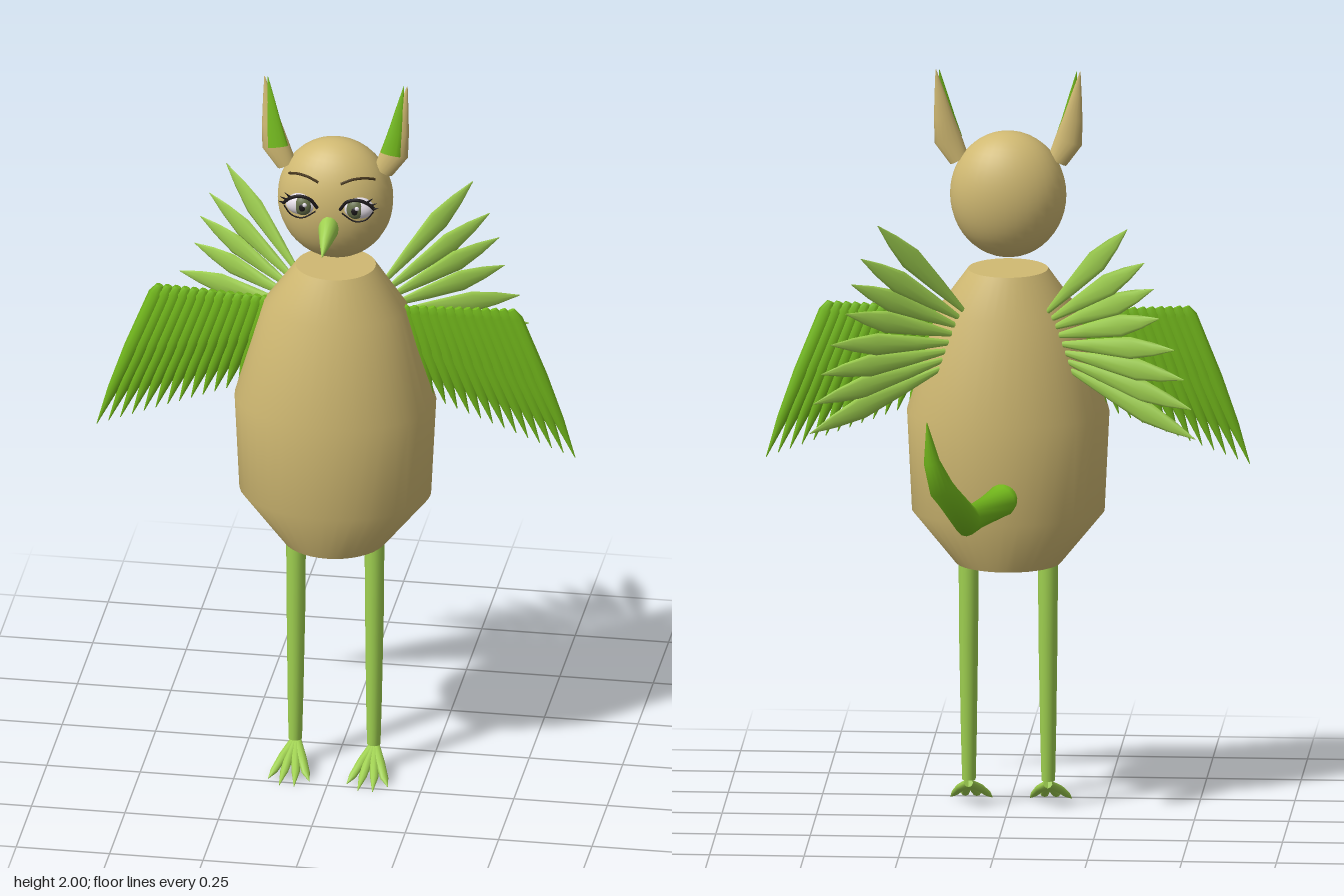
import * as THREE from 'three';

const paint = (name, color) => {
  const m = new THREE.MeshStandardMaterial({ color });
  m.name = name;
  return m;
};

// Skin over elliptical rings: rows are [x, y, z, halfWidth, halfDepth]; ref points along the depth
function loft(rows, sides, ref = [0, 0, 1]) {
  const pos = [], idx = [], n = rows.length;
  const at = i => new THREE.Vector3(...rows[Math.max(0, Math.min(n - 1, i))].slice(0, 3));
  const addRing = i => {
    const t = at(i + 1).sub(at(i - 1)).normalize();
    const u = new THREE.Vector3(...ref).cross(t).normalize();
    const v = t.clone().cross(u);
    const start = pos.length / 3;
    for (let j = 0; j < sides; j++) {
      const q = j / sides * Math.PI * 2;
      const p = at(i).addScaledVector(u, Math.cos(q) * rows[i][3]).addScaledVector(v, Math.sin(q) * rows[i][4]);
      pos.push(p.x, p.y, p.z);
    }
    return start;
  };
  for (let i = 0; i < n; i++) addRing(i);
  for (let i = 0; i < n - 1; i++) for (let j = 0; j < sides; j++) {
    const k = (j + 1) % sides, a = i * sides, b = a + sides;
    idx.push(a + j, a + k, b + k, a + j, b + k, b + j);
  }
  // flat end caps with their own corners
  for (const [i, flip] of [[0, true], [n - 1, false]]) {
    const s = addRing(i), c = pos.length / 3;
    pos.push(...at(i).toArray());
    for (let j = 0; j < sides; j++) {
      const k = (j + 1) % sides;
      idx.push(c, s + (flip ? k : j), s + (flip ? j : k));
    }
  }
  const g = new THREE.BufferGeometry();
  g.setAttribute('position', new THREE.Float32BufferAttribute(pos, 3));
  g.setIndex(idx);
  g.computeVertexNormals();
  return g;
}

// Feather from base to tip: profile entries are [t, halfWidth, halfDepth]
function feather(base, tip, profile, ref) {
  const a = new THREE.Vector3(...base), b = new THREE.Vector3(...tip);
  return loft(profile.map(([t, w, d]) => [...a.clone().lerp(b, t).toArray(), w, d]), 8, ref);
}

export function createModel() {
  const model = new THREE.Group();
  model.name = 'birdCreature';
  const tan = paint('tan', 0xd0b972);
  const leaf = paint('lightGreen', 0x9fd050);
  const green = paint('deepGreen', 0x73b91c);
  const white = paint('eyeWhite', 0xe6dfe8);
  const iris = paint('irisOlive', 0x66704a);
  const black = paint('black', 0x1c181a);
  const brown = paint('browBrown', 0x4a3a20);

  const add = (name, geometry, material, parent = model) => {
    const m = new THREE.Mesh(geometry, material);
    m.name = name;
    parent.add(m);
    return m;
  };
  const group = name => {
    const g = new THREE.Group();
    g.name = name;
    model.add(g);
    return g;
  };
  const ellipsoid = (name, mat, c, r, parent) => {
    const m = add(name, new THREE.SphereGeometry(1, 32, 24), mat, parent);
    m.position.set(...c);
    m.scale.set(...r);
  };
  const line = (name, mat, pts, r, parent) => add(name, new THREE.TubeGeometry(
    new THREE.CatmullRomCurve3(pts.map(p => new THREE.Vector3(...p))), 12, r, 6), mat, parent);

  // Body, head and beak
  add('body', loft([
    [0, 0.67, 0.115, 0.14, 0.14], [0, 0.81, 0.115, 0.255, 0.196], [0, 1.08, 0.113, 0.268, 0.21],
    [0, 1.35, 0.11, 0.19, 0.152], [0, 1.465, 0.107, 0.106, 0.106]], 40), tan);
  ellipsoid('head', tan, [0, 1.665, 0.112], [0.154, 0.17, 0.112]);
  add('beak', loft([[0, 1.632, 0.19, 0.022, 0.03], [0, 1.624, 0.23, 0.027, 0.034],
    [0, 1.607, 0.28, 0.015, 0.018], [0, 1.592, 0.333, 0.001, 0.001]], 14, [0, 1, 0]), leaf);

  // Tail bending toward the left and up
  add('tail', loft([[0, 0.885, -0.04, 0.042, 0.042], [0.005, 0.88, -0.1, 0.042, 0.042],
    [0.085, 0.853, -0.225, 0.04, 0.042], [0.15, 0.955, -0.292, 0.03, 0.034],
    [0.175, 1.03, -0.306, 0.02, 0.022], [0.187, 1.14, -0.322, 0.001, 0.001]], 14, [1, 0, -0.6]), green);

  for (const s of [1, -1]) {
    const side = s > 0 ? 'left' : 'right';
    const X = rows => rows.map(([x, ...rest]) => [x * s, ...rest]);

    // Ear with its inner lining
    const ear = [[0.13, 1.755, 0.118, 0.027, 0.02], [0.16, 1.81, 0.118, 0.037, 0.02],
      [0.171, 1.87, 0.113, 0.026, 0.015], [0.181, 1.935, 0.109, 0.014, 0.008], [0.191, 2, 0.105, 0.001, 0.001]];
    add(side + 'Ear', loft(X(ear), 16), tan);
    add(side + 'EarLining', loft(X(ear.slice(1).map(([x, y, z, a, b]) =>
      [x - 0.009, y, z + b * 0.75, a * 0.76, b * 0.5])), 12), leaf.name && green);

    // Leg and four splayed toes
    add(side + 'Leg', loft(X([[0.105, 0.72, 0.116, 0.027, 0.027], [0.105, 0.45, 0.117, 0.025, 0.025],
      [0.105, 0.2, 0.125, 0.021, 0.021], [0.105, 0.075, 0.128, 0.018, 0.018]]), 14), leaf);
    const foot = group(side + 'Foot');
    for (const [dx, reach] of [[-0.05, 0.235], [-0.018, 0.27], [0.018, 0.27], [0.05, 0.235]])
      add('toe', loft(X([[0.105, 0.068, 0.115, 0.013, 0.012], [0.105 + dx * 0.5, 0.042, 0.175, 0.013, 0.011],
        [0.105 + dx * 0.85, 0.018, 0.215, 0.011, 0.008], [0.105 + dx * 1.1, 0.003, reach, 0.001, 0.001]]), 8, [0, 1, 0]), leaf, foot);

    // Side wing: a row of long overlapping quills
    const wing = group(side + 'Wing');
    const quill = [[0, 0.01, 0.008], [0.06, 0.021, 0.013], [0.45, 0.021, 0.016], [0.75, 0.014, 0.009], [1, 0.001, 0.001]];
    for (let i = 0; i < 14; i++) {
      const t = i / 13;
      add('wingFeather', feather([s * (0.16 + 0.31 * t), 1.355 + 0.012 * t, 0.108],
        [s * (0.23 + 0.41 * t), 1.1 - 0.155 * t, 0.104], quill), green, wing);
    }

    // Back fan of leaf-shaped feathers
    const fan = group(side + 'BackFan');
    const blade = [[0, 0.006, 0.004], [0.3, 0.019, 0.008], [0.62, 0.03, 0.008], [0.82, 0.018, 0.005], [1, 0.001, 0.001]];
    const tips = [[0.33, 1.625], [0.375, 1.535], [0.4, 1.465], [0.415, 1.385],
      [0.455, 1.3], [0.48, 1.22], [0.5, 1.14], [0.51, 1.06]];
    tips.forEach(([x, y], i) => {
      const t = i / 7;
      add('fanFeather', feather([s * (0.11 + 0.05 * t), 1.37 - 0.15 * t, 0.005],
        [s * x, y, -0.12], blade, [s * 0.38, 0, 0.92]), leaf, fan);
    });

    // Eye, lids, lashes and brow
    const eye = group(side + 'Eye');
    ellipsoid('eyeWhite', white, [s * 0.075, 1.682, 0.203], [0.043, 0.03, 0.026], eye);
    ellipsoid('iris', iris, [s * 0.07, 1.683, 0.217], [0.024, 0.027, 0.0155], eye);
    ellipsoid('pupil', black, [s * 0.07, 1.683, 0.222], [0.013, 0.016, 0.0125], eye);
    ellipsoid('glint', white, [s * 0.07 + 0.007, 1.692, 0.232], [0.006, 0.006, 0.004], eye);
    line('upperLid', black, X([[0.03, 1.682, 0.224], [0.05, 1.708, 0.227], [0.078, 1.715, 0.227],
      [0.105, 1.705, 0.224], [0.122, 1.688, 0.22]]), 0.0045, eye);
    line('lowerLid', black, X([[0.035, 1.672, 0.223], [0.07, 1.652, 0.226], [0.1, 1.658, 0.224],
      [0.12, 1.682, 0.22]]), 0.002, eye);
    for (const [x, y, ex, ey] of [[0.102, 1.707, 0.118, 1.723], [0.112, 1.7, 0.13, 1.71], [0.12, 1.69, 0.134, 1.697]])
      add('lash', loft(X([[x, y, 0.222, 0.004, 0.003], [ex, ey, 0.227, 0.0005, 0.0005]]), 6), black, eye);
    line('brow', brown, X([[0.03, 1.75, 0.208], [0.06, 1.763, 0.204], [0.09, 1.763, 0.19],
      [0.115, 1.752, 0.168]]), 0.0035, eye);
  }
  return model;
}
